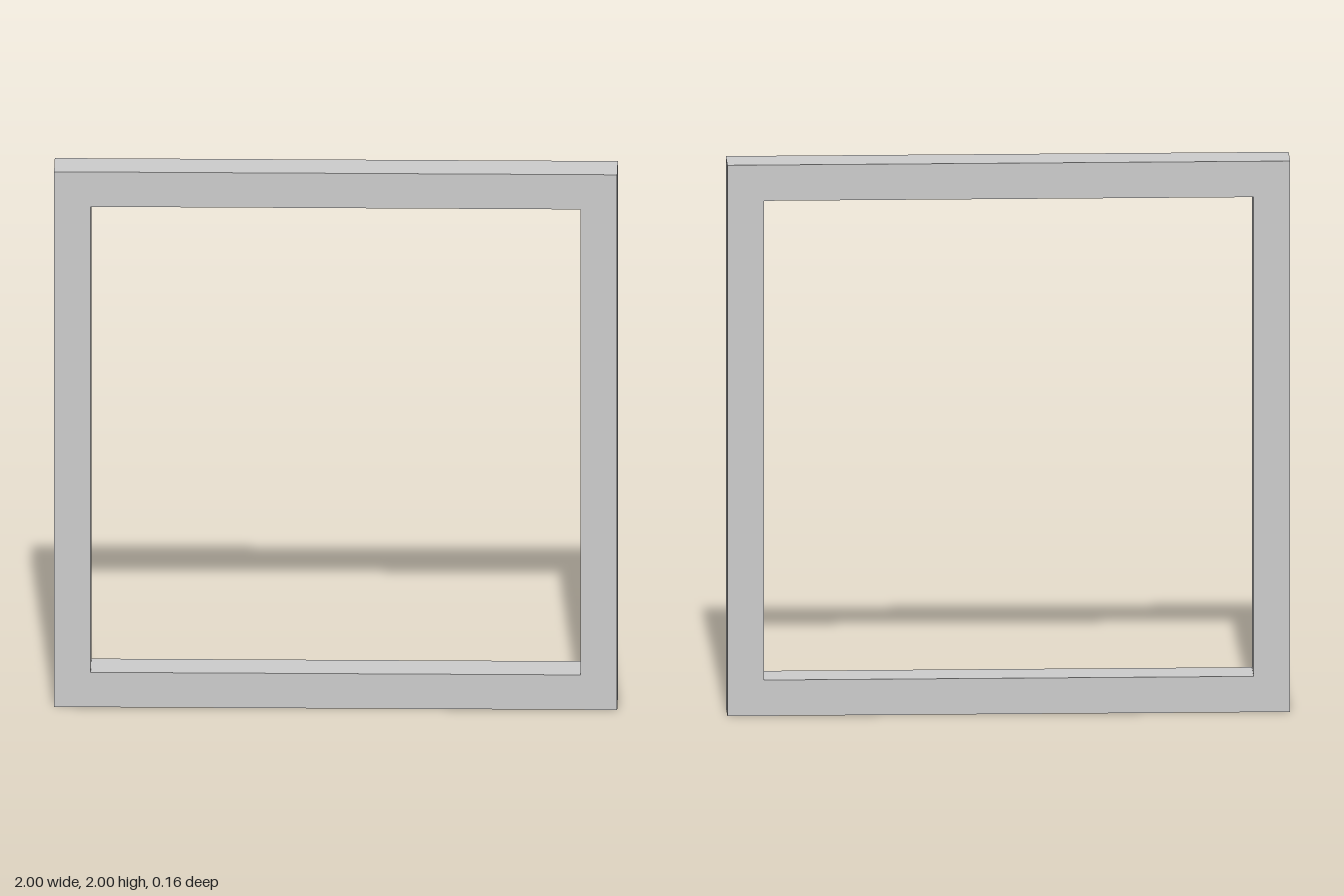
import * as THREE from 'three';

const SIZE = 2, BORDER = 0.13, DEPTH = 0.156;

// Square outline centred on the origin
function square(path, side) {
  const h = side / 2;
  path.moveTo(-h, -h);
  path.lineTo(h, -h);
  path.lineTo(h, h);
  path.lineTo(-h, h);
  path.closePath();
  return path;
}

export function createModel() {
  const model = new THREE.Group();
  model.name = 'squareFrame';

  // One solid frame with a square opening
  const outline = square(new THREE.Shape(), SIZE);
  outline.holes.push(square(new THREE.Path(), SIZE - 2 * BORDER));
  const geometry = new THREE.ExtrudeGeometry(outline, { depth: DEPTH, bevelEnabled: false });
  geometry.translate(0, SIZE / 2, -DEPTH / 2);

  const frame = new THREE.Mesh(
    geometry,
    new THREE.MeshStandardMaterial({ color: 0xcccccc, flatShading: true })
  );
  frame.name = 'frame';
  model.add(frame);
  return model;
}
